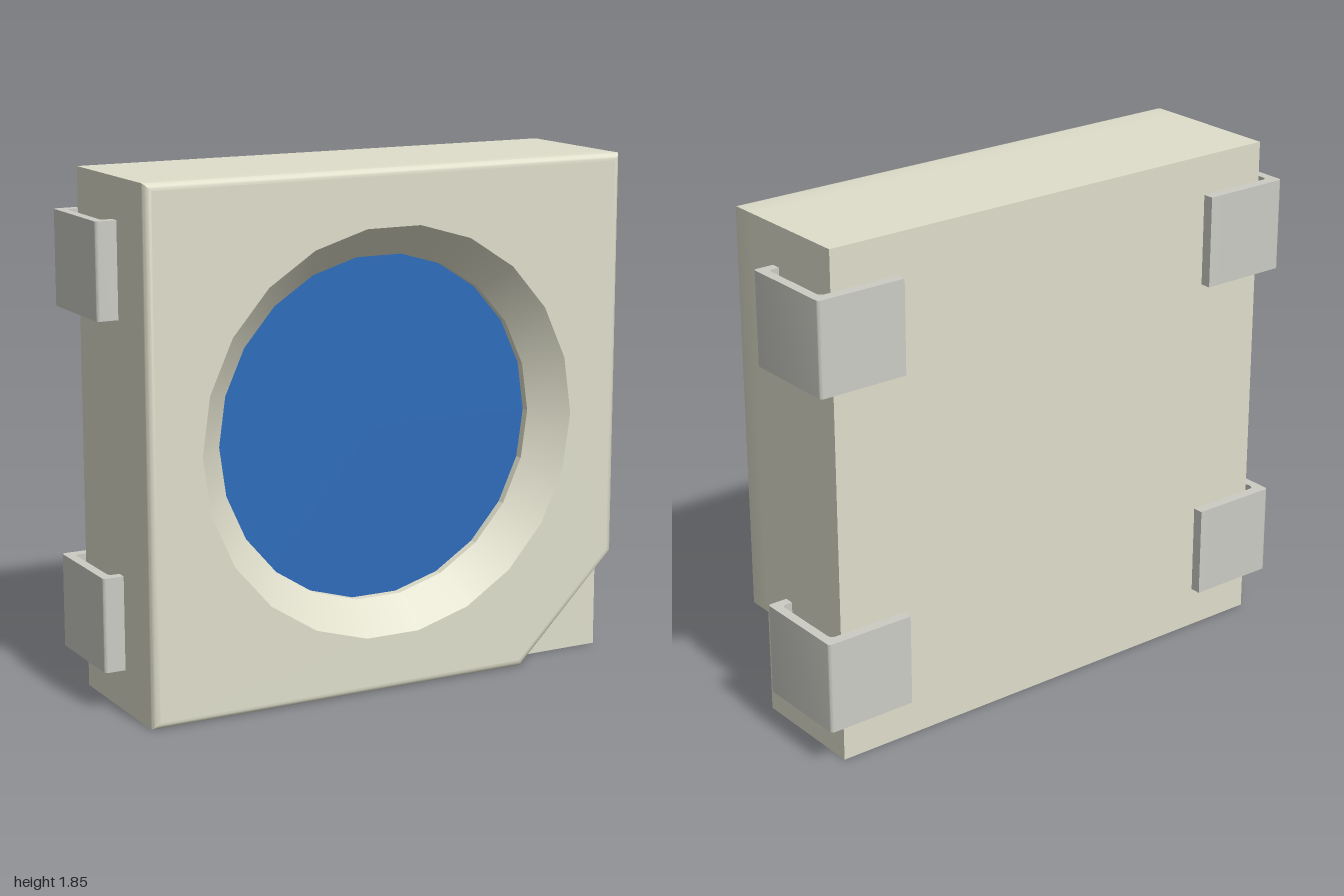
import * as THREE from 'three';
import { toCreasedNormals } from 'three/addons/utils/BufferGeometryUtils.js';

const HALF = 0.925, BACK = -0.26, FLOOR = 0.16, STEP = 0.19, FRONT = 0.3;
const SIDES = 22, R_OUT = 0.73, R_IN = 0.617, ROUND = 0.025;

const housingMat = new THREE.MeshStandardMaterial({ color: 0xdfdecb, side: THREE.DoubleSide });
const lensMat = new THREE.MeshStandardMaterial({ color: 0x2d6cbb });
const leadMat = new THREE.MeshStandardMaterial({ color: 0xccccc5 });

function ngon(radius) {
  return Array.from({ length: SIDES }, (_, i) => {
    const a = (i / SIDES) * Math.PI * 2;
    return new THREE.Vector2(radius * Math.cos(a), radius * Math.sin(a));
  });
}

// Square with one cut corner, moved inwards by d (counter-clockwise)
function cutSquare(d) {
  const s = HALF - d, c = 1.465 - d * Math.SQRT2 - s;
  return [[-s, -s], [c, -s], [s, -c], [s, s], [-s, s]].map(([x, y]) => new THREE.Vector2(x, y));
}

function withHole(points, radius) {
  const shape = new THREE.Shape(points);
  shape.holes.push(new THREE.Path(ngon(radius)));
  return shape;
}

// Side walls of the front frame, ending in a rounded front edge
function rimGeometry() {
  const rings = [[0, STEP]];
  for (let k = 0; k <= 5; k++) {
    const a = (k / 5) * Math.PI / 2;
    rings.push([ROUND * (1 - Math.cos(a)), FRONT - ROUND + ROUND * Math.sin(a)]);
  }
  const pos = [], index = [];
  for (const [d, z] of rings) for (const p of cutSquare(d)) pos.push(p.x, p.y, z);
  for (let k = 0; k < rings.length - 1; k++) {
    for (let i = 0; i < 5; i++) {
      const a = k * 5 + i, b = k * 5 + (i + 1) % 5;
      index.push(a, b, b + 5, a, b + 5, a + 5);
    }
  }
  const g = new THREE.BufferGeometry();
  g.setAttribute('position', new THREE.Float32BufferAttribute(pos, 3));
  g.setIndex(index);
  return toCreasedNormals(g, 0.6);
}

// Closed outline from [x, y, corner radius]
function roundedShape(pts) {
  const shape = new THREE.Shape();
  pts.forEach(([x, y, r], i) => {
    const toward = (q) => {
      const l = Math.hypot(q[0] - x, q[1] - y);
      return [x + (q[0] - x) * r / l, y + (q[1] - y) * r / l];
    };
    const a = toward(pts[(i + pts.length - 1) % pts.length]);
    const b = toward(pts[(i + 1) % pts.length]);
    if (i === 0) shape.moveTo(...a); else shape.lineTo(...a);
    if (r > 0) shape.quadraticCurveTo(x, y, ...b);
  });
  shape.closePath();
  return shape;
}

// C-shaped strip wrapping from the side wall round to the back
function leadGeometry(side) {
  const profile = [
    [0.925, 0.07, 0], [1, 0.07, 0.012], [1, -0.3, 0.012], [0.665, -0.3, 0],
    [0.665, -0.26, 0], [0.965, -0.26, 0.02], [0.965, 0.035, 0.02], [0.925, 0.035, 0],
  ].map(([x, z, r]) => [side * x, -z, r]);
  const g = new THREE.ExtrudeGeometry(roundedShape(profile), { depth: 0.335, bevelEnabled: false, curveSegments: 4 });
  g.rotateX(-Math.PI / 2);
  return toCreasedNormals(g, 0.6);
}

export function createModel() {
  const model = new THREE.Group();
  const add = (name, geometry, material, parent, x = 0, y = 0, z = 0) => {
    const mesh = new THREE.Mesh(geometry, material);
    mesh.name = name;
    mesh.position.set(x, y, z);
    parent.add(mesh);
  };

  // Housing, built around its own centre
  const housing = new THREE.Group();
  housing.name = 'housing';
  housing.position.y = HALF;
  model.add(housing);

  const seat = FLOOR - 0.02;
  add('backBlock', new THREE.BoxGeometry(2 * HALF, 2 * HALF, seat - BACK), housingMat, housing, 0, 0, (seat + BACK) / 2);

  const square = [[-1, -1], [1, -1], [1, 1], [-1, 1]].map(([x, y]) => new THREE.Vector2(x * HALF, y * HALF));
  add('middlePlate', new THREE.ExtrudeGeometry(withHole(square, R_IN), { depth: STEP - seat, bevelEnabled: false }),
    housingMat, housing, 0, 0, seat);

  add('frontRim', rimGeometry(), housingMat, housing);
  add('frontFace', new THREE.ShapeGeometry(withHole(cutSquare(ROUND), R_OUT)), housingMat, housing, 0, 0, FRONT);

  // Sloping wall of the round recess
  const cone = new THREE.CylinderGeometry(R_OUT, R_IN, FRONT - STEP, SIDES, 1, true);
  cone.rotateY(Math.PI / 2).rotateX(Math.PI / 2);
  add('reflectorCone', cone, housingMat, housing, 0, 0, (FRONT + STEP) / 2);

  // Blue disc at the bottom of the recess
  const lens = new THREE.CylinderGeometry(R_IN, R_IN, FLOOR - seat, SIDES);
  lens.rotateY(Math.PI / 2).rotateX(Math.PI / 2);
  add('lens', lens, lensMat, housing, 0, 0, (FLOOR + seat) / 2);

  // Four metal leads
  for (const [sideName, side] of [['left', 1], ['right', -1]]) {
    for (const [level, y] of [['Lower', 0.15], ['Upper', 1.37]]) {
      add(`${sideName}${level}Lead`, leadGeometry(side), leadMat, model, 0, y, 0);
    }
  }
  return model;
}
